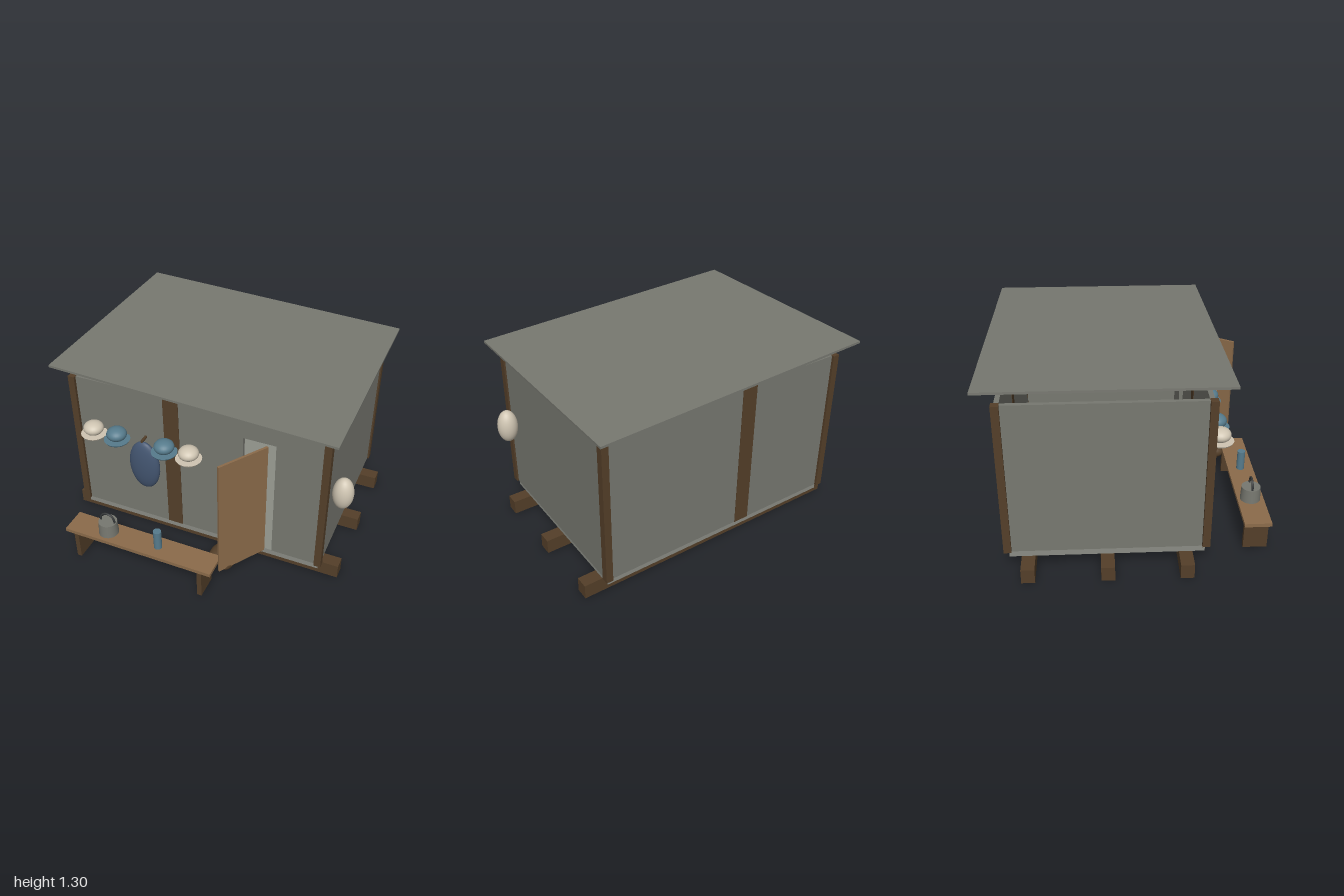
import * as THREE from 'three';

const paint = (name, color) => {
  const m = new THREE.MeshStandardMaterial({ color });
  m.name = name;
  return m;
};

export function createModel() {
  const hut = new THREE.Group();
  hut.name = 'hut';
  const grey = paint('weatheredGrey', 0x777870);
  const pale = paint('paleGrey', 0x8a8c84);
  const dark = paint('darkWood', 0x543f29);
  const tan = paint('tanWood', 0x8b6b4a);
  const cream = paint('cream', 0xcfc5b2);
  const teal = paint('teal', 0x567b8c);
  const blue = paint('slateBlue', 0x435570);
  const iron = paint('iron', 0x36393a);

  const add = (name, geo, mat, x, y, z, parent = hut) => {
    const m = new THREE.Mesh(geo, mat);
    m.name = name;
    m.position.set(x, y, z);
    parent.add(m);
    return m;
  };
  // Box given by its lower and upper corners
  const block = (name, mat, x0, x1, y0, y1, z0, z1) =>
    add(name, new THREE.BoxGeometry(x1 - x0, y1 - y0, z1 - z0), mat,
      (x0 + x1) / 2, (y0 + y1) / 2, (z0 + z1) / 2);
  const ellipsoid = (name, mat, x, y, z, rx, ry, rz) =>
    add(name, new THREE.SphereGeometry(1, 28, 18).scale(rx, ry, rz), mat, x, y, z);

  // Skids and floor
  for (const z of [0.337, -0.155, -0.648]) block('skid', dark, -1, 0.965, 0, 0.1, z - 0.043, z + 0.043);
  block('floor', pale, -0.875, 0.845, 0.11, 0.15, -0.765, 0.455);

  // Walls, with a doorway in the front one
  const bottom = 0.157, top = 1.18;
  block('frontWall', grey, -0.88, 0.31, bottom, top, 0.435, 0.465);
  block('frontWall', grey, 0.525, 0.855, bottom, top, 0.435, 0.465);
  block('lintel', grey, 0.31, 0.525, 1.03, top, 0.435, 0.465);
  block('backWall', grey, -0.88, 0.855, bottom, top, -0.78, -0.75);
  block('rightWall', grey, -0.885, -0.857, bottom, top, -0.75, 0.435);
  block('leftWall', grey, 0.83, 0.858, bottom, top, -0.75, 0.435);

  // Dark plank in the front and back walls
  for (const z of [0.45, -0.765]) block('darkPlank', dark, -0.232, -0.125, bottom, top, z - 0.018, z + 0.018);

  // Corner posts
  for (const x of [-0.878, 0.847])
    for (const z of [0.46, -0.772])
      block('cornerPost', dark, x - 0.023, x + 0.023, bottom, top + 0.002, z - 0.024, z + 0.024);

  // Sloping roof
  const roof = block('roof', grey, -0.963, 0.93, 1.249, 1.264, -0.895, 0.58);
  roof.rotation.z = -0.041;

  // Open door
  const door = add('door', new THREE.BoxGeometry(0.355, 0.86, 0.016), tan, 0.378, 0.597, 0.63);
  door.rotation.y = 0.985;

  // Bench
  block('benchTop', tan, -0.79, 0.27, 0.215, 0.24, 0.717, 0.893);
  for (const x of [-0.714, 0.19]) block('benchLeg', dark, x - 0.016, x + 0.016, 0.01, 0.215, 0.73, 0.887);

  // Kettle and cup on the bench
  const kettle = new THREE.Group();
  kettle.name = 'kettle';
  kettle.position.set(-0.508, 0.24, 0.803);
  hut.add(kettle);
  add('kettleBody', new THREE.CylinderGeometry(0.062, 0.067, 0.095, 28), grey, 0, 0.0475, 0, kettle);
  add('kettleHandle', new THREE.TorusGeometry(0.05, 0.007, 8, 24, Math.PI), iron, 0, 0.106, 0, kettle);
  for (const s of [-1, 1])
    add('handleEnd', new THREE.CylinderGeometry(0.007, 0.007, 0.02, 8), iron, s * 0.05, 0.098, 0, kettle);
  add('cup', new THREE.CylinderGeometry(0.027, 0.027, 0.14, 24), teal, -0.14, 0.31, 0.803);

  // Bowls on saucers along the front wall
  [[-0.715, cream], [-0.543, teal], [-0.2, teal], [-0.028, cream]].forEach(([x, mat]) => {
    add('saucer', new THREE.CylinderGeometry(0.086, 0.08, 0.01, 28), mat, x, 0.815, 0.535);
    ellipsoid('bowl', mat, x, 0.86, 0.535, 0.067, 0.045, 0.067);
  });

  // Hanging blue bundle and its peg
  ellipsoid('hangingBundle', blue, -0.367, 0.637, 0.505, 0.11, 0.187, 0.045);
  const peg = add('peg', new THREE.CylinderGeometry(0.01, 0.01, 0.07, 8), dark, -0.367, 0.84, 0.49);
  peg.rotation.x = Math.PI / 2;

  // Pale float on the side wall
  ellipsoid('float', cream, 0.931, 0.7, 0.337, 0.068, 0.115, 0.066);

  // Pair of shoes by the door
  for (const x of [0.207, 0.3]) ellipsoid('shoe', dark, x, 0.165, 0.645, 0.047, 0.047, 0.102);

  return hut;
}
